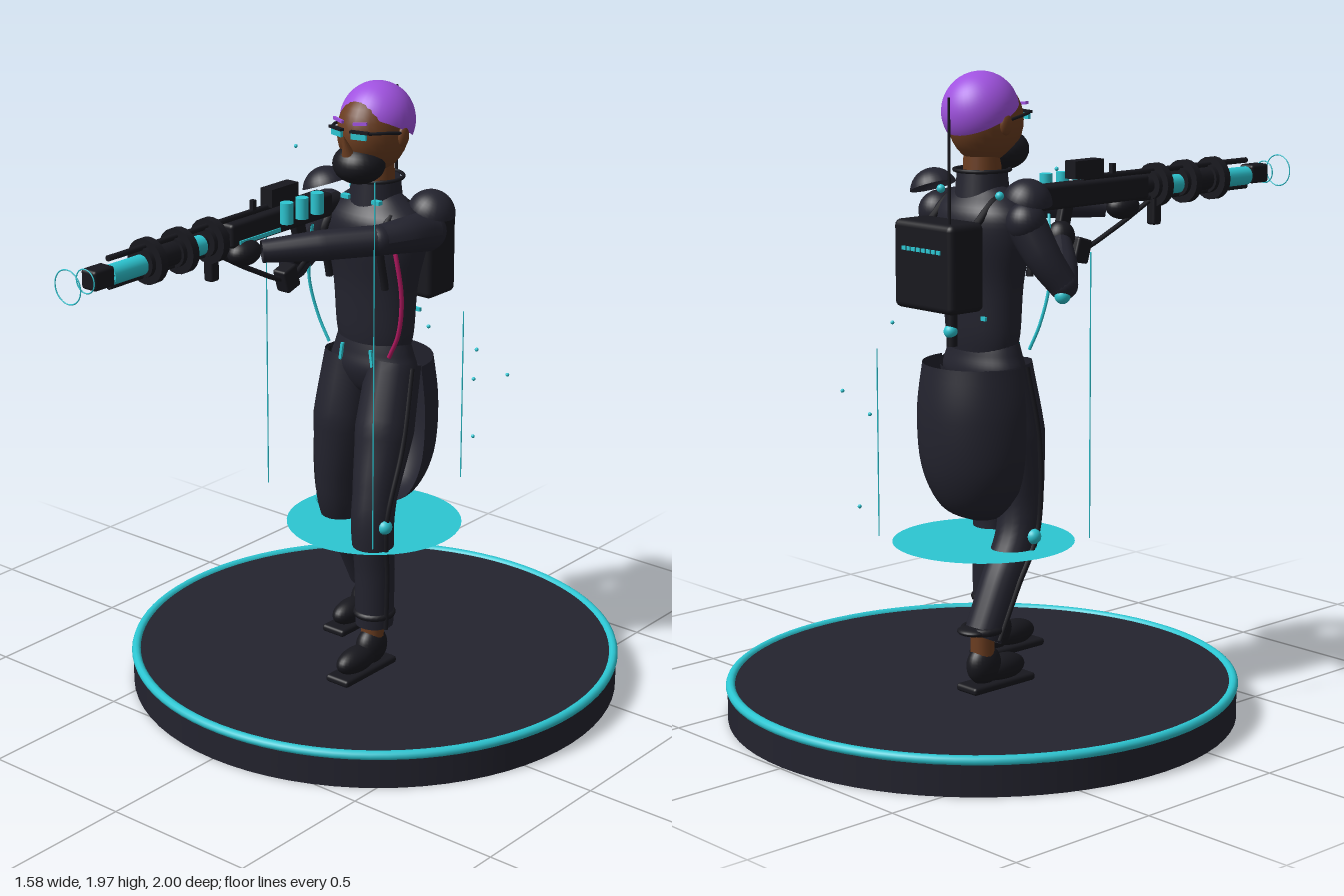
import * as THREE from 'three';
import { RoundedBoxGeometry } from 'three/addons/geometries/RoundedBoxGeometry.js';

const mat = (name, hex, side = THREE.FrontSide) => {
  const m = new THREE.MeshStandardMaterial({ color: hex, side });
  m.name = name;
  return m;
};

export function createModel() {
  const root = new THREE.Group();
  root.name = 'operativeOnStand';
  const navy = mat('navyCloth', 0x23232e, THREE.DoubleSide);
  const black = mat('blackGear', 0x18181e);
  const cyan = mat('cyanGlow', 0x2cc6d2, THREE.DoubleSide);
  const purple = mat('purpleHair', 0xa052e0);
  const skin = mat('brownSkin', 0x6b3d20);
  const magenta = mat('magentaCable', 0xb0185f);
  const V = (p) => new THREE.Vector3(p[0], p[1], p[2]);

  const add = (name, geo, m, pos = [0, 0, 0], rot = [0, 0, 0], scale = [1, 1, 1]) => {
    const mesh = new THREE.Mesh(geo, m);
    mesh.name = name;
    mesh.position.set(...pos);
    mesh.rotation.set(...rot);
    mesh.scale.set(...scale);
    root.add(mesh);
    return mesh;
  };
  const box = (name, m, pos, size, rot) => add(name, new THREE.BoxGeometry(...size), m, pos, rot);
  const round = (name, m, pos, size, r, rot) => add(name, new RoundedBoxGeometry(...size, 3, r), m, pos, rot);
  const ball = (name, m, pos, s, rot) => add(name, new THREE.SphereGeometry(1, 28, 18), m, pos, rot, Array.isArray(s) ? s : [s, s, s]);
  const tube = (name, m, pts, r) => add(name, new THREE.TubeGeometry(new THREE.CatmullRomCurve3(pts.map(V)), 32, r, 8), m);
  // Cylinder lying along z, from z0 to z1
  const rodZ = (name, m, x, y, z0, z1, r, sides = 20) =>
    add(name, new THREE.CylinderGeometry(r, r, z1 - z0, sides), m, [x, y, (z0 + z1) / 2], [Math.PI / 2, 0, 0]);
  // Tapered limb: points are [x, y, z, radius]
  const limb = (name, m, pts) => {
    const curve = new THREE.CatmullRomCurve3(pts.map(V));
    const n = 28, sides = 18;
    const geo = new THREE.TubeGeometry(curve, n, 1, sides);
    const p = geo.attributes.position, v = new THREE.Vector3();
    for (let i = 0; i <= n; i++) {
      const c = curve.getPointAt(i / n);
      const f = (i / n) * (pts.length - 1), k = Math.min(Math.floor(f), pts.length - 2);
      const r = THREE.MathUtils.lerp(pts[k][3], pts[k + 1][3], f - k);
      for (let j = 0; j <= sides; j++) {
        const id = i * (sides + 1) + j;
        v.fromBufferAttribute(p, id).sub(c).multiplyScalar(r).add(c);
        p.setXYZ(id, v.x, v.y, v.z);
      }
    }
    geo.computeVertexNormals();
    return add(name, geo, m);
  };
  const lathe = (pts, start = 0, len = Math.PI * 2) =>
    new THREE.LatheGeometry(new THREE.SplineCurve(pts.map((q) => new THREE.Vector2(...q))).getPoints(28), 40, start, len);

  // Stand and floating floor disc
  add('standBase', new THREE.CylinderGeometry(0.785, 0.785, 0.11, 72), navy, [0, 0.055, -0.207]);
  add('standRim', new THREE.TorusGeometry(0.775, 0.015, 10, 90), cyan, [0, 0.105, -0.207], [Math.PI / 2, 0, 0]);
  add('glowDisc', new THREE.CircleGeometry(0.28, 48), cyan, [0, 0.54, -0.2], [-Math.PI / 2, 0, 0]);

  // Legs, feet and trims
  const legs = {
    left: { s: 1, path: [[0.085, 1.1, -0.19, 0.085], [0.1, 0.87, -0.12, 0.093], [0.12, 0.63, -0.045, 0.07], [0.125, 0.45, -0.05, 0.064], [0.125, 0.27, -0.05, 0.06]], foot: 0.01, knee: [0.18, 0.62, -0.03] },
    right: { s: -1, path: [[-0.085, 1.1, -0.19, 0.085], [-0.1, 0.87, -0.16, 0.093], [-0.12, 0.6, -0.165, 0.07], [-0.125, 0.44, -0.245, 0.064], [-0.125, 0.28, -0.32, 0.06]], foot: -0.262, knee: [-0.185, 0.58, -0.165] },
  };
  for (const [side, { s, path, foot, knee }] of Object.entries(legs)) {
    const x = 0.122 * s, end = path[4];
    limb(side + 'TrouserLeg', navy, path);
    ball(side + 'Knee', cyan, knee, 0.024);
    tube(side + 'LegPiping', black, path.map((q) => [q[0] + s * q[3] * 0.97, q[1], q[2] + 0.015]), 0.008);
    add(side + 'Cuff', new THREE.TorusGeometry(0.056, 0.012, 8, 24), black, [end[0], 0.31, end[2] + (s < 0 ? 0.0 : 0)], [Math.PI / 2, 0, 0]);
    add(side + 'Ankle', new THREE.CylinderGeometry(0.036, 0.036, 0.09, 16), skin, [x, 0.25, foot - 0.055]);
    ball(side + 'ShoeToe', black, [x, 0.172, foot + 0.025], [0.042, 0.042, 0.085]);
    ball(side + 'ShoeHeel', black, [x, 0.195, foot - 0.05], [0.043, 0.062, 0.06]);
    round(side + 'Sole', black, [x, 0.13, foot], [0.09, 0.024, 0.25], 0.01);
  }
  ball('rightHeelGuard', black, [-0.125, 0.31, -0.36], [0.05, 0.014, 0.045]);

  // Torso, hips and open coat tail
  add('hips', lathe([[0.001, 0.98], [0.1, 1.0], [0.155, 1.07], [0.142, 1.13], [0.125, 1.18]]), navy, [0, 0, -0.195], [0, 0, 0], [1, 1, 0.6]);
  add('jacket', lathe([[0.125, 1.14], [0.138, 1.2], [0.15, 1.35], [0.18, 1.48], [0.175, 1.56], [0.11, 1.615], [0.07, 1.64]]), navy, [0, 0, -0.2], [0, 0, 0], [1, 1, 0.64]);
  add('coatTail', lathe([[0.18, 1.1], [0.197, 0.95], [0.185, 0.78], [0.13, 0.66], [0.05, 0.615], [0.001, 0.61]], Math.PI / 2, Math.PI), navy, [0, 0, -0.205]);
  add('collar', new THREE.CylinderGeometry(0.075, 0.085, 0.09, 28, 1, true), navy, [0, 1.635, -0.2]);
  add('collarTrim', new THREE.TorusGeometry(0.084, 0.006, 8, 32), black, [0, 1.68, -0.2], [Math.PI / 2, 0, 0]);
  for (const s of [-1, 1]) {
    box('beltLight', cyan, [0.06 * s, 1.125, -0.108], [0.009, 0.055, 0.009], [0, 0, 0.15 * s]);
    box('collarLight', cyan, [0.06 * s, 1.62, -0.13], [0.03, 0.012, 0.02]);
    ball('shoulder', navy, [0.195 * s, 1.54, -0.205], 0.06);
    // Curved shoulder guard
    add('shoulderGuard', new THREE.SphereGeometry(0.075, 24, 10, 0, Math.PI * 2, 0, Math.PI * 0.42), navy, [0.205 * s, 1.595, -0.21], [0, 0, -0.35 * s]);
    ball('shoulderLight', cyan, [0.13 * s, 1.615, -0.25], 0.013);
  }

  // Arms and gloves
  limb('rightUpperArm', navy, [[-0.185, 1.54, -0.2, 0.062], [-0.24, 1.43, -0.17, 0.055], [-0.275, 1.355, -0.13, 0.045]]);
  limb('rightForearm', navy, [[-0.275, 1.355, -0.13, 0.045], [-0.21, 1.4, -0.07, 0.046], [-0.14, 1.455, -0.01, 0.034]]);
  ball('rightElbow', navy, [-0.275, 1.355, -0.13], 0.045);
  ball('rightElbowLight', cyan, [-0.288, 1.325, -0.145], 0.024);
  ball('rightGlove', black, [-0.125, 1.47, 0.005], [0.042, 0.05, 0.045]);
  limb('leftUpperArm', navy, [[0.195, 1.54, -0.205, 0.062], [0.195, 1.55, -0.11, 0.055], [0.165, 1.55, -0.01, 0.046]]);
  limb('leftForearm', navy, [[0.165, 1.55, -0.01, 0.046], [0.06, 1.545, 0.12, 0.046], [-0.06, 1.535, 0.26, 0.034]]);
  ball('leftElbow', navy, [0.165, 1.55, -0.01], 0.047);
  ball('leftGlove', black, [-0.095, 1.535, 0.3], [0.045, 0.04, 0.06]);

  // Head
  add('neck', new THREE.CylinderGeometry(0.055, 0.06, 0.12, 24), skin, [0, 1.69, -0.2]);
  ball('head', skin, [0, 1.825, -0.185], [0.102, 0.128, 0.122]);
  add('hair', new THREE.SphereGeometry(1, 36, 20, 0, Math.PI * 2, 0, Math.PI * 0.55), purple, [0, 1.855, -0.207], [-0.45, 0, 0], [0.113, 0.117, 0.12]);
  ball('faceMask', black, [0, 1.735, -0.118], [0.082, 0.062, 0.08]);
  add('nose', new THREE.ConeGeometry(0.02, 0.065, 12), skin, [0, 1.805, -0.055], [0.35, 0, 0]);
  for (const s of [-1, 1]) {
    ball('ear', skin, [0.105 * s, 1.82, -0.2], [0.013, 0.032, 0.022]);
    box('lens', cyan, [0.042 * s, 1.835, -0.064], [0.05, 0.02, 0.009], [0, 0.25 * s, 0]);
    box('lensFrame', black, [0.045 * s, 1.848, -0.064], [0.06, 0.008, 0.014], [0, 0.25 * s, 0]);
    tube('glassesTemple', black, [[0.07 * s, 1.845, -0.075], [0.1 * s, 1.842, -0.13], [0.108 * s, 1.83, -0.2]], 0.005);
    box('eyebrow', purple, [0.042 * s, 1.872, -0.071], [0.045, 0.009, 0.009], [0, 0.25 * s, 0.1 * s]);
  }

  // Backpack, antenna and canister
  round('backpack', black, [0, 1.41, -0.375], [0.26, 0.265, 0.135], 0.02);
  for (let i = 0; i < 8; i++) box('packLight', cyan, [-0.077 + i * 0.022, 1.46, -0.444], [0.015, 0.012, 0.006]);
  add('antenna', new THREE.CylinderGeometry(0.004, 0.005, 0.4, 8), black, [-0.088, 1.71, -0.41]);
  add('packCanister', new THREE.CylinderGeometry(0.017, 0.017, 0.12, 14), black, [0, 1.22, -0.325]);
  ball('canisterLight', cyan, [0, 1.205, -0.33], 0.021);
  for (const s of [-1, 1]) {
    tube('packStrap', black, [[0.1 * s, 1.53, -0.32], [0.1 * s, 1.605, -0.22], [0.11 * s, 1.53, -0.09], [0.11 * s, 1.36, -0.11]], 0.012);
    box('backLight', cyan, [0.1 * s, 1.25, -0.287], [0.02, 0.012, 0.009]);
  }

  // Long launcher
  const gx = -0.12, gy = 1.595;
  round('launcherBody', black, [gx, gy, 0.13], [0.07, 0.075, 0.46], 0.012);
  rodZ('launcherStock', black, gx, gy - 0.01, -0.16, -0.08, 0.03);
  rodZ('launcherBarrel', black, gx, gy, 0.34, 0.86, 0.024);
  rodZ('glowCore', cyan, gx, gy - 0.005, 0.46, 0.84, 0.03);
  rodZ('upperRail', black, gx, gy + 0.045, 0.1, 0.84, 0.009, 10);
  rodZ('lowerRail', black, gx, gy - 0.038, 0.3, 0.84, 0.009, 10);
  for (const z of [0.42, 0.55, 0.68]) {
    rodZ('barrelBand', black, gx, gy, z - 0.013, z + 0.013, 0.068);
    rodZ('bandCollar', black, gx, gy, z - 0.028, z + 0.028, 0.045);
  }
  rodZ('barrelSleeve', black, gx, gy, 0.55, 0.7, 0.036);
  round('muzzle', black, [gx, gy, 0.88], [0.058, 0.06, 0.08], 0.01);
  for (const [z, r] of [[0.93, 0.035], [0.998, 0.05]])
    add('muzzleRing', new THREE.TorusGeometry(r, 0.002, 6, 40), cyan, [gx, gy, z]);
  box('sight', black, [gx, 1.668, 0.11], [0.045, 0.055, 0.12]);
  for (const z of [0, 0.07, 0.14])
    add('powerCell', new THREE.CylinderGeometry(0.02, 0.02, 0.065, 16), cyan, [-0.066, 1.625, z]);
  box('sightPost', black, [gx, 1.65, 0.23], [0.015, 0.05, 0.015]);
  box('bodyLight', cyan, [gx + 0.036, 1.572, 0.24], [0.006, 0.012, 0.18]);
  round('foreGrip', black, [gx, 1.515, 0.415], [0.035, 0.09, 0.035], 0.008);
  round('rearGrip', black, [gx, 1.52, 0.02], [0.03, 0.13, 0.045], 0.008, [0.25, 0, 0]);
  round('slingBox', black, [-0.085, 1.415, 0.12], [0.05, 0.075, 0.06], 0.008, [0.3, 0, 0]);
  tube('sling', black, [[gx, 1.545, 0.39], [-0.1, 1.47, 0.26], [-0.085, 1.41, 0.12], [-0.1, 1.43, 0.03], [gx, 1.5, -0.06]], 0.008);

  // Hanging cables
  tube('magentaCable', magenta, [[0.13, 1.57, -0.1], [0.165, 1.47, -0.095], [0.175, 1.34, -0.11], [0.155, 1.22, -0.12], [0.12, 1.14, -0.12]], 0.007);
  tube('cyanCable', cyan, [[-0.11, 1.54, -0.03], [-0.165, 1.45, -0.08], [-0.175, 1.34, -0.09], [-0.155, 1.22, -0.11], [-0.12, 1.14, -0.12]], 0.005);

  // Floating light lines and specks: line is [x, z, top]
  for (const [x, z, top] of [[-0.37, -0.11, 1.46], [0.23, 0.09, 1.76], [0.08, -0.55, 1.17]])
    add('lightLine', new THREE.CylinderGeometry(0.002, 0.002, top - 0.6, 6), cyan, [x, (top + 0.6) / 2, z]);
  for (const p of [[-0.34, 1.71, -0.22], [0.35, 1.18, -0.26], [0.28, 1.01, -0.52], [0.06, 0.71, -0.64], [0.14, 0.96, -0.53], [0.21, 1.24, -0.2]])
    ball('lightSpeck', cyan, p, 0.006);
  return root;
}
